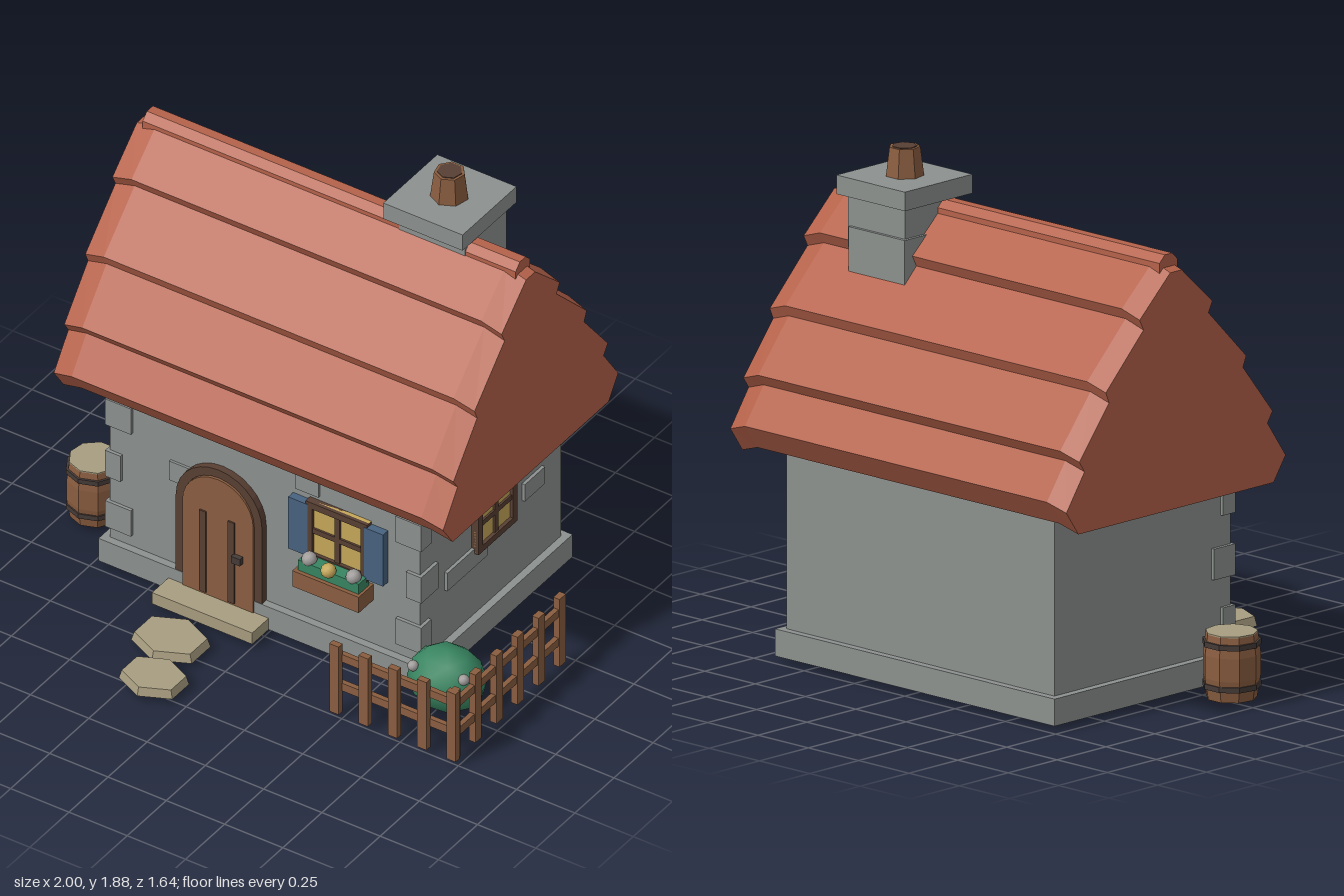
import * as THREE from 'three';

const mat = (name, color) => {
  const m = new THREE.MeshStandardMaterial({ color });
  m.name = name;
  return m;
};

export function createModel() {
  const root = new THREE.Group();
  root.name = 'cottage';
  const red = mat('roofRed', 0xb5624a), stone = mat('stoneGrey', 0x8c918e), wood = mat('wood', 0x8a5d40);
  const dark = mat('darkWood', 0x583f33), gold = mat('windowGold', 0xc6a75a), blue = mat('shutterBlue', 0x48627f);
  const green = mat('leafGreen', 0x388561), sand = mat('sandstone', 0xa89d80);
  const iron = mat('iron', 0x453b37), pale = mat('paleBlossom', 0x9f9c9a);

  // Helpers
  const facet = (g) => {
    const f = g.index ? g.toNonIndexed() : g;
    f.computeVertexNormals();
    return f;
  };
  const add = (name, geo, material, x = 0, y = 0, z = 0, parent = root) => {
    const m = new THREE.Mesh(geo, material);
    m.name = name;
    m.position.set(x, y, z);
    parent.add(m);
    return m;
  };
  // Box given by its limits on each axis
  const box = (name, material, x0, x1, y0, y1, z0, z1, parent = root) =>
    add(name, new THREE.BoxGeometry(x1 - x0, y1 - y0, z1 - z0), material,
      (x0 + x1) / 2, (y0 + y1) / 2, (z0 + z1) / 2, parent);
  const cyl = (name, material, rt, rb, h, sides, x, y, z, parent = root) =>
    add(name, facet(new THREE.CylinderGeometry(rt, rb, h, sides)), material, x, y, z, parent);
  const group = (name, x = 0, y = 0, z = 0) => {
    const g = new THREE.Group();
    g.name = name;
    g.position.set(x, y, z);
    root.add(g);
    return g;
  };

  // Walls and plinth
  box('walls', stone, -0.695, 0.635, 0.1, 0.82, -0.7, 0.2);
  box('plinth', stone, -0.725, 0.665, 0.02, 0.12, -0.73, 0.23);

  // Corner stones on both front corners, alternating long and short
  for (const s of [-1, 1]) {
    [[0.625, 0.11, 0.065], [0.395, 0.065, 0.11], [0.17, 0.11, 0.065]].forEach(([y, w, d]) => {
      const outer = -0.03 + s * 0.678, inner = outer - s * w;
      box('cornerStone', stone, Math.min(outer, inner), Math.max(outer, inner), y, y + 0.115, 0.213 - d, 0.213);
    });
  }
  // Loose stones on the front and on the side wall
  for (const [x0, x1, y0, y1] of [[0.105, 0.205, 0.68, 0.76], [0.275, 0.42, 0.755, 0.8],
    [0.13, 0.3, 0.27, 0.335], [-0.435, -0.35, 0.49, 0.575]])
    box('frontStone', stone, x0, x1, y0, y1, 0.19, 0.21);
  for (const [z0, z1, y0, y1] of [[-0.58, -0.45, 0.435, 0.51], [-0.215, 0.045, 0.345, 0.425]])
    box('sideStone', stone, 0.62, 0.648, y0, y1, z0, z1);

  // Tiered roof: a stepped cross-section, drooping a little at both ends
  const half = [[0.51, 0.785], [0.573, 0.875], [0.478, 1.01], [0.505, 1.05], [0.35, 1.24],
    [0.367, 1.28], [0.17, 1.475], [0.19, 1.515], [0.03, 1.66]];
  const profile = [...half, ...half.map(([u, y]) => [-u, y]).reverse()];
  const sections = [[-0.865, 1], [-0.78, 0], [0.72, 0], [0.805, 1]].map(([x, end]) =>
    profile.map(([u, y]) => [x, y - 0.027 * end, -0.253 - u * (1 - 0.022 * end)]));
  const pos = [];
  for (let k = 0; k < 3; k++) {
    const a = sections[k], b = sections[k + 1];
    a.forEach((p, i) => {
      const j = (i + 1) % a.length;
      pos.push(...p, ...a[j], ...b[j], ...p, ...b[j], ...b[i]);
    });
  }
  for (const [i, j, k] of THREE.ShapeUtils.triangulateShape(profile.map(([u, y]) => new THREE.Vector2(u, y)), [])) {
    pos.push(...sections[3][i], ...sections[3][j], ...sections[3][k]);
    pos.push(...sections[0][k], ...sections[0][j], ...sections[0][i]);
  }
  const roofGeo = new THREE.BufferGeometry();
  roofGeo.setAttribute('position', new THREE.Float32BufferAttribute(pos, 3));
  add('roof', facet(roofGeo), red);
  const ridge = cyl('ridgeCap', red, 0.05, 0.05, 1.6, 8, -0.03, 1.645, -0.255);
  ridge.rotation.set(Math.PI / 8, 0, Math.PI / 2);

  // Chimney
  box('chimneyBase', stone, 0.26, 0.54, 1.38, 1.58, -0.483, -0.22);
  box('chimneyStack', stone, 0.272, 0.555, 1.5, 1.71, -0.47, -0.207);
  box('chimneyCap', stone, 0.23, 0.57, 1.7, 1.77, -0.513, -0.168);
  cyl('chimneyPot', wood, 0.057, 0.071, 0.108, 7, 0.4, 1.822, -0.34);
  cyl('chimneyPotOpening', dark, 0.046, 0.046, 0.004, 7, 0.4, 1.877, -0.34);

  // Arched door
  const arch = (r, y0, spring) => {
    const s = new THREE.Shape();
    s.moveTo(-r, y0);
    s.lineTo(r, y0);
    s.absarc(0, spring, r, 0, Math.PI, false);
    return s;
  };
  const extrude = (shape, depth) =>
    new THREE.ExtrudeGeometry(shape, { depth, bevelEnabled: false, curveSegments: 7 });
  const door = group('door', -0.21, 0, 0.19);
  const frame = arch(0.185, 0.06, 0.455);
  frame.holes.push(arch(0.15, 0.061, 0.455));
  add('doorFrame', extrude(frame, 0.038), dark, 0, 0, 0, door);
  add('doorLeaf', extrude(arch(0.152, 0.06, 0.45), 0.045), wood, 0, 0, 0, door);
  for (const x of [-0.062, 0.06]) box('doorStrip', dark, x - 0.014, x + 0.014, 0.08, 0.44, 0.04, 0.051, door);
  box('doorHandle', iron, 0.07, 0.108, 0.272, 0.302, 0.04, 0.065, door);
  box('doorStep', sand, -0.425, 0.005, 0.02, 0.07, 0.2, 0.335);

  // Stepping stones
  for (const [x, z, r] of [[-0.24, 0.49, 0.121], [-0.165, 0.71, 0.107]])
    cyl('steppingStone', sand, r * 0.92, r, 0.035, 6, x, 0.0375, z).scale.x = 1.24;

  // Paned window facing +z in its own group
  const makeWindow = (name, w, h) => {
    const g = group(name), t = 0.027;
    box('glass', gold, -w, w, -h, h, -0.01, 0.016, g);
    for (const s of [-1, 1]) {
      box('frameSide', dark, s * (w - t / 2) - t / 2, s * (w - t / 2) + t / 2, -h, h, -0.01, 0.03, g);
      box('frameRail', dark, -w, w, s * (h - t / 2) - t / 2, s * (h - t / 2) + t / 2, -0.01, 0.03, g);
    }
    box('mullion', dark, -0.011, 0.011, -h, h, -0.01, 0.024, g);
    box('crossbar', dark, -w, w, -0.011, 0.011, -0.01, 0.024, g);
    return g;
  };
  makeWindow('frontWindow', 0.132, 0.127).position.set(0.295, 0.535, 0.2);
  const side = makeWindow('sideWindow', 0.124, 0.118);
  side.position.set(0.635, 0.522, -0.253);
  side.rotation.y = Math.PI / 2;
  for (const x of [0.09, 0.415]) box('shutter', blue, x, x + 0.082, 0.42, 0.65, 0.195, 0.232);

  // Flower box
  box('flowerBox', wood, 0.15, 0.435, 0.315, 0.385, 0.2, 0.295);
  box('flowerLeaves', green, 0.165, 0.425, 0.38, 0.43, 0.215, 0.28);
  [pale, gold, pale].forEach((m, i) =>
    add('blossom', new THREE.IcosahedronGeometry(0.029, 1), m, 0.2 + i * 0.095, 0.437, i === 1 ? 0.28 : 0.26));

  // Barrel
  const barrel = group('barrel', -0.895, 0.02, 0);
  const staves = [[0, 0], [0.092, 0], [0.105, 0.08], [0.105, 0.165], [0.095, 0.24]]
    .map(([r, y]) => new THREE.Vector2(r, y));
  add('staves', facet(new THREE.LatheGeometry(staves, 9)), wood, 0, 0, 0, barrel);
  cyl('lid', sand, 0.095, 0.095, 0.008, 9, 0, 0.241, 0, barrel);
  for (const y of [0.05, 0.205]) cyl('hoop', iron, 0.107, 0.107, 0.02, 9, 0, y, 0, barrel);

  // Fence: a front run and a side run meeting at the corner
  for (let i = 0; i < 5; i++) {
    const x = 0.473 + i * 0.1255;
    box('frontPicket', wood, x - 0.02, x + 0.02, 0.02, 0.322, 0.485, 0.51);
  }
  for (let i = 0; i < 6; i++) {
    const z = 0.49 - i * 0.1345;
    box('sidePicket', wood, 0.963, 0.99, 0.02, 0.322, z - 0.02, z + 0.02);
  }
  for (const y of [0.13, 0.258]) {
    box('frontRail', wood, 0.47, 0.985, y - 0.017, y + 0.017, 0.467, 0.487);
    box('sideRail', wood, 0.966, 0.986, y - 0.017, y + 0.017, -0.2, 0.5);
  }

  // Bush with two blossoms
  add('bush', new THREE.IcosahedronGeometry(0.128, 1), green, 0.768, 0.125, 0.225).scale.set(1.18, 0.98, 1);
  for (const [x, z] of [[0.675, 0.305], [0.872, 0.275]])
    add('bushBlossom', new THREE.IcosahedronGeometry(0.021, 1), pale, x, 0.188, z);

  return root;
}
